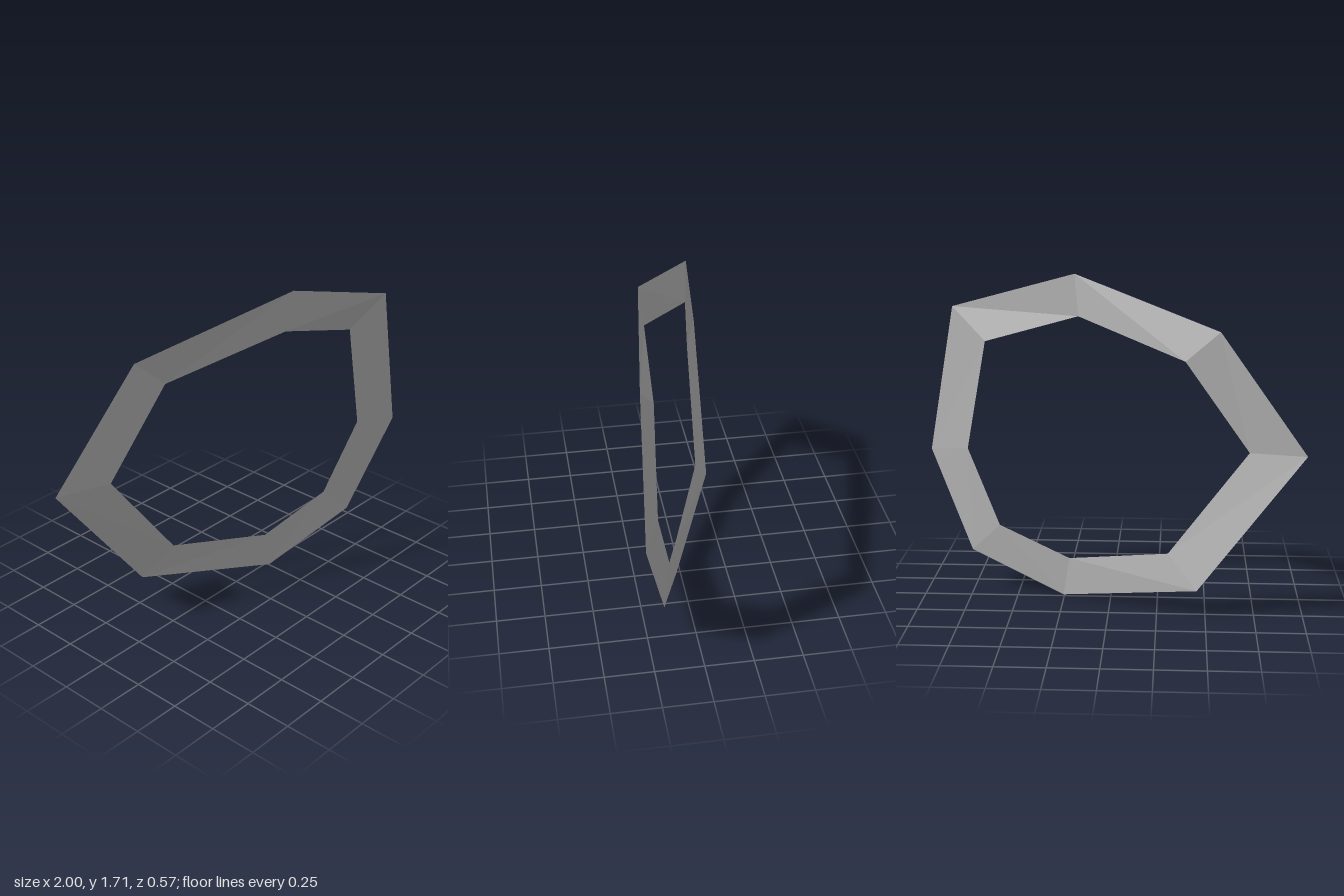
import * as THREE from 'three';

// Corners of the ring, clockwise from the top: [outer x, y, z, inner x, y, z]
const CORNERS = [
  [0.2, 1.71, 0.2, 0.18, 1.49, 0.17],
  [0.865, 1.525, 0.285, 0.68, 1.35, 0.197],
  [0.998, 0.74, 0.285, 0.785, 0.765, 0.197],
  [0.765, 0.205, 0.165, 0.607, 0.36, 0.115],
  [0.255, 0.003, 0.02, 0.222, 0.21, 0.015],
  [-0.455, 0.135, -0.27, -0.305, 0.305, -0.178],
  [-1, 0.855, -0.285, -0.715, 0.85, -0.196],
  [-0.56, 1.46, -0.16, -0.385, 1.303, -0.127],
];

export function createModel() {
  const group = new THREE.Group();
  group.name = 'bentRing';
  const grey = new THREE.MeshStandardMaterial({
    color: 0xb8b8b8, side: THREE.DoubleSide, flatShading: true,
  });
  grey.name = 'grey';

  // Join each pair of neighbouring corners with a flat band segment
  const positions = CORNERS.flat();
  const index = [];
  const n = CORNERS.length;
  for (let i = 0; i < n; i++) {
    const a = 2 * i;
    const b = 2 * ((i + 1) % n);
    index.push(a, a + 1, b, b, a + 1, b + 1);
  }
  const indexed = new THREE.BufferGeometry();
  indexed.setAttribute('position', new THREE.Float32BufferAttribute(positions, 3));
  indexed.setIndex(index);
  const geometry = indexed.toNonIndexed();
  geometry.computeVertexNormals();

  const band = new THREE.Mesh(geometry, grey);
  band.name = 'ringBand';
  group.add(band);
  return group;
}
